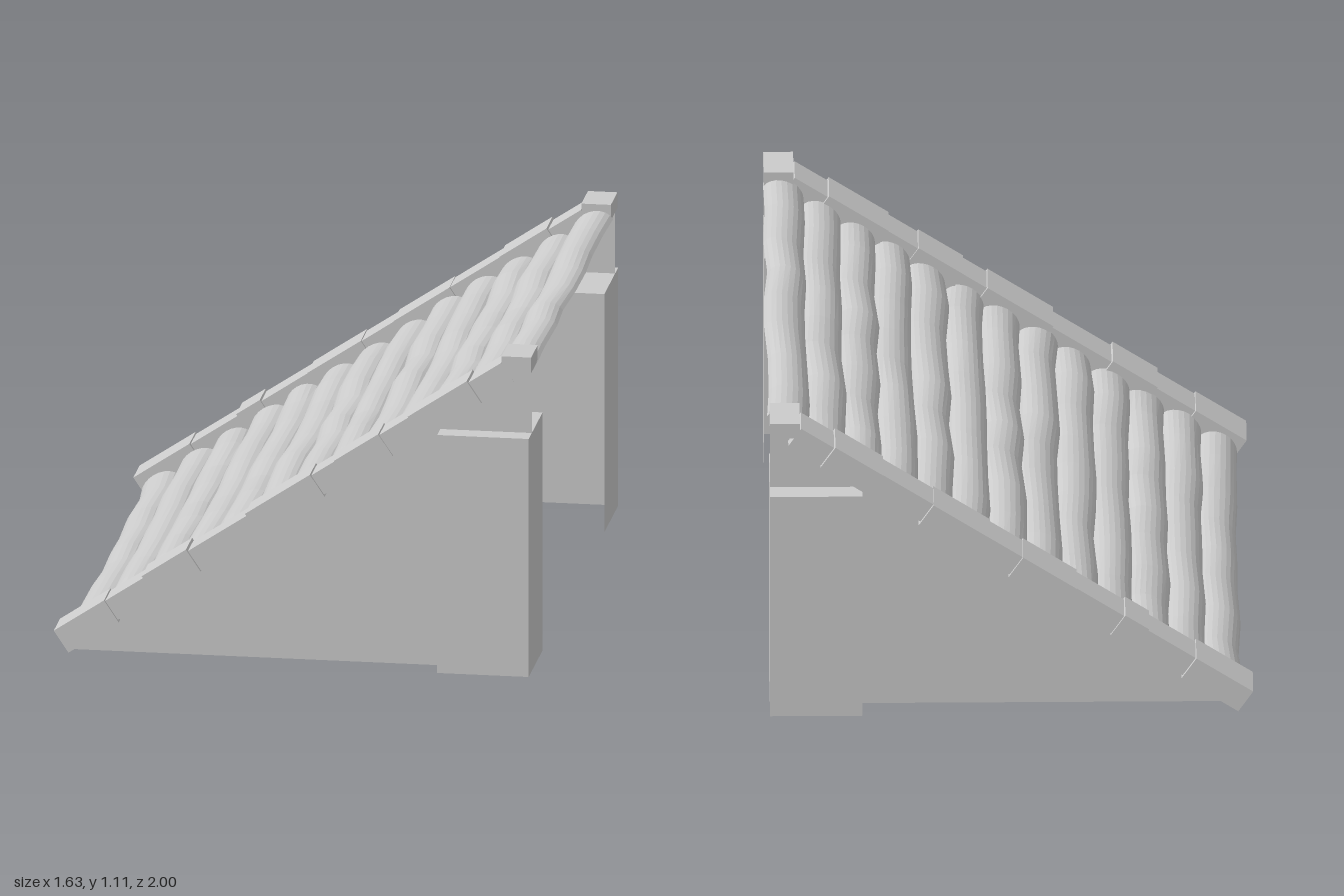
import * as THREE from 'three';
import { ParametricGeometry } from 'three/addons/geometries/ParametricGeometry.js';

const SLOPE = Math.atan2(1.047, 1.57);
const COS = Math.cos(SLOPE), SIN = Math.sin(SLOPE);
const ORIGIN = new THREE.Vector2(-0.77, 0); // foot of the sloping deck
const LENGTH = 1.57 / COS;

const solid = new THREE.MeshStandardMaterial({ color: 0xcccccc, flatShading: true });
const sheet = new THREE.MeshStandardMaterial({ color: 0xcccccc, flatShading: true, side: THREE.DoubleSide });
const smooth = new THREE.MeshStandardMaterial({ color: 0xcccccc, side: THREE.DoubleSide });

function seeded(seed) {
  return () => (seed = (seed * 16807) % 2147483647) / 2147483647;
}

function add(parent, name, geometry, material) {
  const mesh = new THREE.Mesh(geometry, material);
  mesh.name = name;
  parent.add(mesh);
  return mesh;
}

// point at distance s along the slope and h above it
function onSlope(s, h, z, target) {
  return target.set(ORIGIN.x + s * COS - h * SIN, ORIGIN.y + s * SIN + h * COS, z);
}

// flat upright panel in the XY plane
function panel(parent, name, points, z) {
  const shape = new THREE.Shape(points.map(([x, y]) => new THREE.Vector2(x, y)));
  add(parent, name, new THREE.ShapeGeometry(shape), sheet).position.z = z;
}

// open half-round logs with gently wavy outlines
function logs(parent) {
  const random = seeded(4321);
  const count = 13, pitch = LENGTH / count;
  const rings = [-0.835, -0.65, -0.42, -0.2, 0, 0.2, 0.4, 0.64, 0.825];
  for (let i = 0; i < count; i++) {
    const wave = rings.map(() => [(random() - 0.5) * 0.018, 0.055 + random() * 0.012, 0.5 + random() * 0.05]);
    const geometry = new ParametricGeometry((u, v, target) => {
      const k = Math.round(v * (rings.length - 1));
      const [shift, height, half] = wave[k];
      const angle = u * Math.PI;
      const s = (i + 0.5) * pitch - Math.cos(angle) * half * pitch + shift;
      onSlope(s, Math.sin(angle) * height, rings[k], target);
    }, 12, rings.length - 1);
    add(parent, 'log', geometry, smooth);
  }
}

// row of uneven edging stones following the slope
function edging(parent, breaks, zMid, seed) {
  const random = seeded(seed);
  for (let i = 0; i < breaks.length - 1; i++) {
    const s0 = (breaks[i] + 0.8) / COS, s1 = (breaks[i + 1] + 0.8) / COS;
    const wide = i % 2 === 0;
    const thick = wide ? 0.09 : 0.078;
    const width = (wide ? 0.14 : 0.122) - random() * 0.006;
    const stone = add(parent, 'edgingStone', new THREE.BoxGeometry(s1 - s0, thick, width), solid);
    onSlope((s0 + s1) / 2, 0.043 + (random() - 0.5) * 0.006, zMid, stone.position);
    stone.rotation.z = SLOPE;
  }
  const cap = add(parent, 'capStone', new THREE.BoxGeometry(0.1, 0.055, 0.147), solid);
  cap.position.set(0.75, 1.074, zMid);
}

// pillar shell, open towards the middle and underneath
function pillar(parent, side) {
  const group = new THREE.Group();
  group.name = 'pillar';
  parent.add(group);
  const x0 = 0.49, x1 = 0.8, height = 0.833, depth = 0.31, zMid = side * 0.845;
  panel(group, 'pillarOuterFace', [[x0, 0], [x1, 0], [x1, height], [x0, height]], side);
  for (const x of [x0, x1]) {
    const face = add(group, 'pillarSide', new THREE.PlaneGeometry(depth, height), sheet);
    face.rotation.y = Math.PI / 2;
    face.position.set(x, height / 2, zMid);
  }
  const top = add(group, 'pillarTop', new THREE.PlaneGeometry(x1 - x0, depth), sheet);
  top.rotation.x = -Math.PI / 2;
  top.position.set((x0 + x1) / 2, height, zMid);
}

export function createModel() {
  const model = new THREE.Group();
  model.name = 'logRamp';

  logs(model);

  edging(model, [-0.8, -0.63, -0.5, -0.35, -0.15, 0.07, 0.15, 0.3, 0.4, 0.6, 0.71], 0.872, 77);
  edging(model, [-0.8, -0.61, -0.45, -0.37, -0.21, -0.03, 0.08, 0.27, 0.44, 0.6, 0.71], -0.909, 991);

  for (const side of [1, -1]) {
    // thin side walls: triangular lower part and the strip above it
    panel(model, 'lowerWall', [[-0.77, 0], [0.49, 0], [0.49, 0.63], [0.17, 0.63]], side * 0.91);
    panel(model, 'upperWall', [[0.17, 0.63], [0.8, 0.63], [0.8, 1.05], [0.7, 1.05], [0.14, 0.68]], side * 0.93);
    pillar(model, side);
  }
  return model;
}
